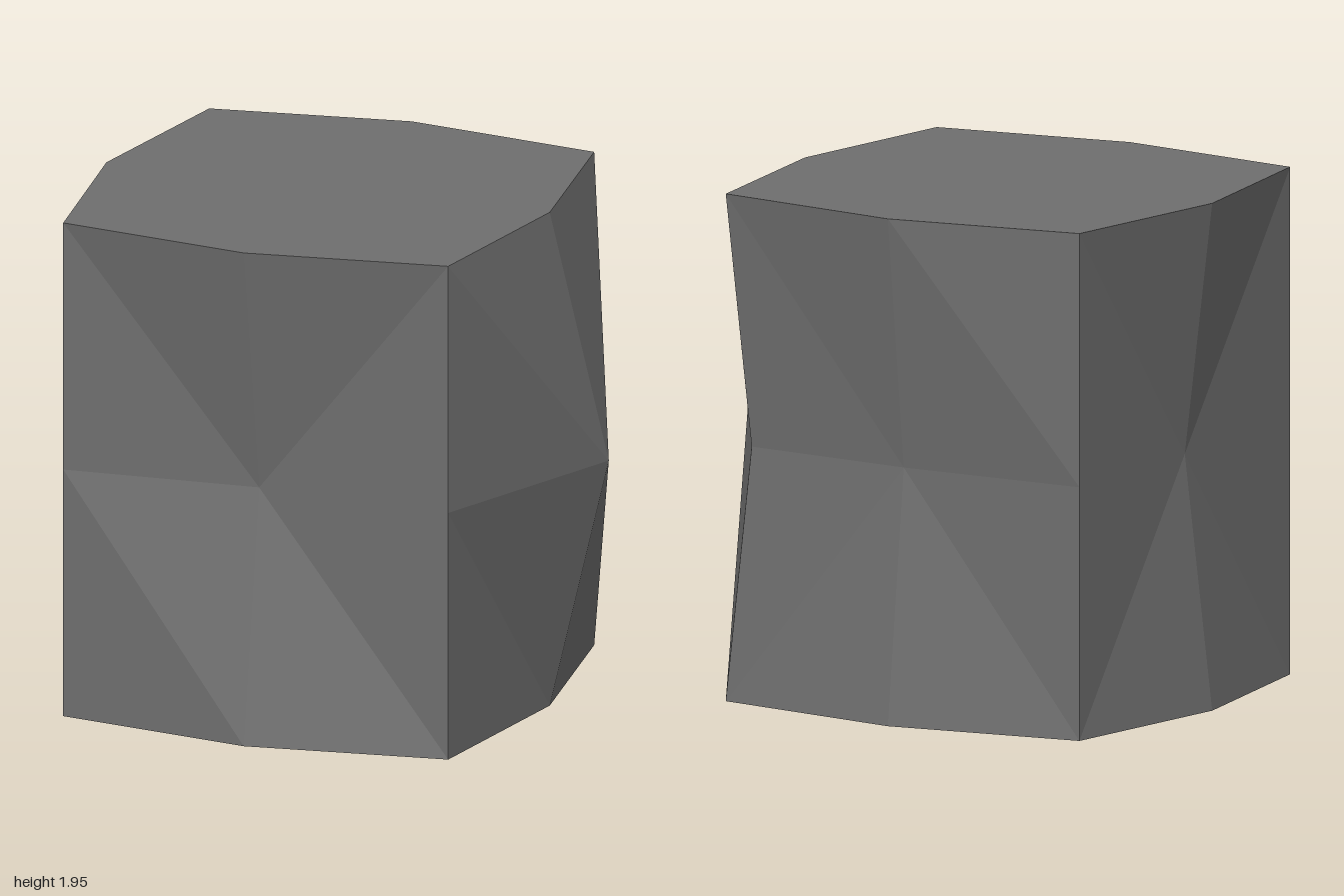
import * as THREE from 'three';

const HEIGHT = 1.945;

// Outline as [x, z], running front left, front, front right, right, back right, back, back left, left
const END_RING = [
  [-0.88, 0.775], [-0.11, 0.89], [0.67, 0.775], [0.785, 0],
  [0.67, -0.775], [-0.11, -0.892], [-0.88, -0.775], [-1, 0],
];
const WAIST_RING = [
  [-0.88, 0.775], [-0.11, 0.725], [0.67, 0.775], [1, -0.06],
  [0.595, -0.71], [-0.11, -0.775], [-0.88, -0.775], [-0.88, 0],
];

// Side panels whose crease rises from lower left to upper right, per row
const RISING = [[4, 6], [1, 3, 7]];

function blockGeometry() {
  const levels = [[END_RING, 0], [WAIST_RING, HEIGHT / 2], [END_RING, HEIGHT]];
  const positions = levels.flatMap(([ring, y]) => ring.flatMap(([x, z]) => [x, y, z]));
  const n = END_RING.length;
  const index = [];

  // Faceted sides
  for (let row = 0; row < 2; row++) {
    for (let i = 0; i < n; i++) {
      const j = (i + 1) % n;
      const a = row * n + i, b = row * n + j;
      const c = b + n, d = a + n;
      if (RISING[row].includes(i)) index.push(a, b, c, a, c, d);
      else index.push(a, b, d, b, c, d);
    }
  }

  // Flat top and bottom
  for (let i = 1; i < n - 1; i++) {
    index.push(2 * n, 2 * n + i, 2 * n + i + 1);
    index.push(0, i + 1, i);
  }

  const indexed = new THREE.BufferGeometry();
  indexed.setAttribute('position', new THREE.Float32BufferAttribute(positions, 3));
  indexed.setIndex(index);
  const geometry = indexed.toNonIndexed();
  geometry.computeVertexNormals();
  return geometry;
}

export function createModel() {
  const stone = new THREE.MeshStandardMaterial({ color: 0x6e6e6e, flatShading: true });
  stone.name = 'stone grey';

  const block = new THREE.Mesh(blockGeometry(), stone);
  block.name = 'stoneBlock';

  const model = new THREE.Group();
  model.name = 'facetedStone';
  model.add(block);
  return model;
}
